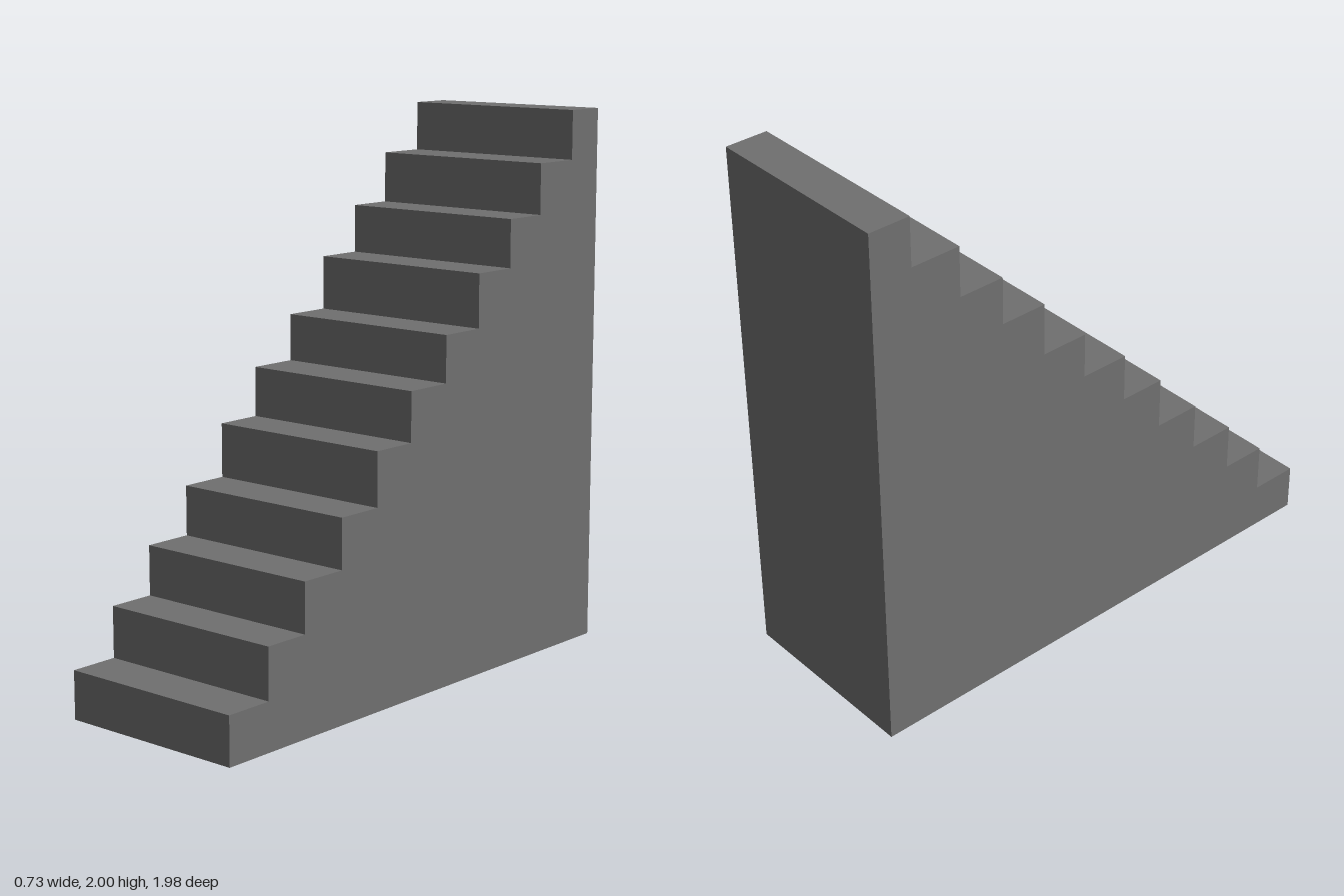
import * as THREE from 'three';

const WIDTH = 0.725;
const BACK = -0.99;

// Front edge (z) and tread height (y) of each step, bottom to top
const STEPS = [
  [0.99, 0.175], [0.805, 0.36], [0.628, 0.54], [0.443, 0.72],
  [0.26, 0.915], [0.083, 1.095], [-0.106, 1.265], [-0.288, 1.46],
  [-0.467, 1.635], [-0.642, 1.82], [-0.832, 2],
];

export function createModel() {
  const group = new THREE.Group();
  group.name = 'staircase';

  // Side profile: x of the shape is the model's z
  const profile = new THREE.Shape();
  profile.moveTo(BACK, 0);
  let height = 0;
  for (const [z, top] of STEPS) {
    profile.lineTo(z, height); // tread
    profile.lineTo(z, top); // riser
    height = top;
  }
  profile.lineTo(BACK, height);
  profile.closePath();

  // Solid flight of stairs, extruded across the width
  const geometry = new THREE.ExtrudeGeometry(profile, { depth: WIDTH, bevelEnabled: false });
  geometry.translate(0, 0, -WIDTH / 2);
  geometry.rotateY(-Math.PI / 2);

  const stairs = new THREE.Mesh(
    geometry,
    new THREE.MeshStandardMaterial({ color: 0x707070, flatShading: true })
  );
  stairs.name = 'solidStairs';
  group.add(stairs);
  return group;
}
